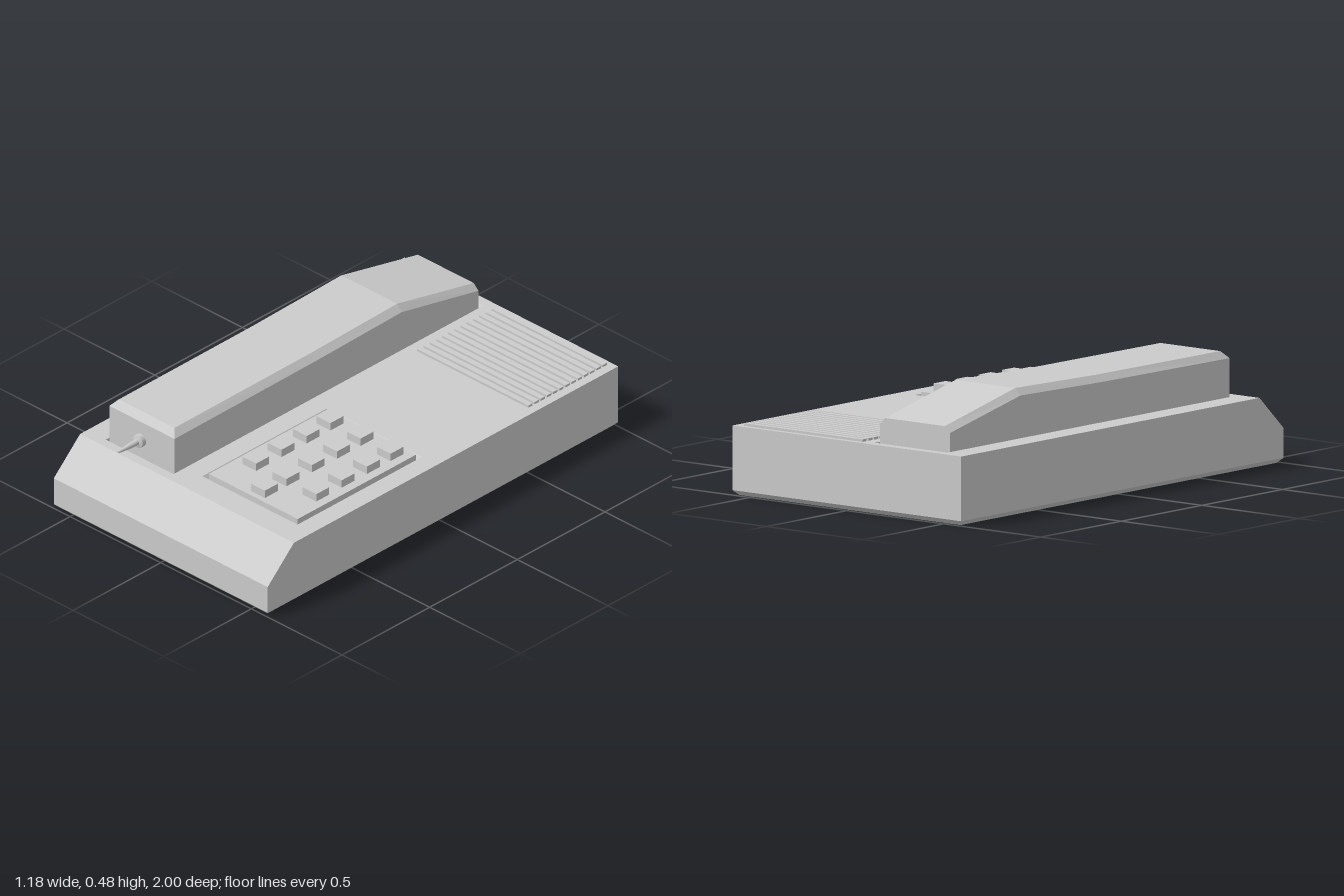
import * as THREE from 'three';

const material = new THREE.MeshStandardMaterial({ color: 0xcccccc, flatShading: true });

// Skin a series of equal-length closed cross-sections with flat quads
function loft(rings, capStart = false, capEnd = false) {
  const pos = [];
  const tri = (a, b, c) => pos.push(...a, ...b, ...c);
  for (let r = 0; r < rings.length - 1; r++) {
    const A = rings[r], B = rings[r + 1], n = A.length;
    for (let i = 0; i < n; i++) {
      const j = (i + 1) % n;
      tri(A[i], A[j], B[j]);
      tri(A[i], B[j], B[i]);
    }
  }
  const first = rings[0], last = rings[rings.length - 1];
  for (let i = 1; i < first.length - 1; i++) {
    if (capStart) tri(first[0], first[i + 1], first[i]);
    if (capEnd) tri(last[0], last[i], last[i + 1]);
  }
  const geo = new THREE.BufferGeometry();
  geo.setAttribute('position', new THREE.Float32BufferAttribute(pos, 3));
  geo.computeVertexNormals();
  return geo;
}

// Horizontal rectangle at height y, counter-clockwise seen from above
const rect = (y, x0, x1, z0, z1) => [[x0, y, z1], [x1, y, z1], [x1, y, z0], [x0, y, z0]];

export function createModel() {
  const phone = new THREE.Group();
  phone.name = 'deskTelephone';

  const add = (name, geo, x = 0, y = 0, z = 0, parent = phone) => {
    const mesh = new THREE.Mesh(geo, material);
    mesh.name = name;
    mesh.position.set(x, y, z);
    parent.add(mesh);
    return mesh;
  };

  const W = 0.59, TOP = 0.28, FLOOR = 0.255;

  // Housing: chamfered foot, upright walls and sloping front
  add('baseBody', loft([
    rect(0, -W + 0.02, W - 0.02, -0.98, 0.98),
    rect(0.02, -W, W, -1, 1),
    rect(0.14, -W, W, -1, 1),
    rect(TOP, -W, W, -1, 0.85),
  ], true));

  // Top deck with openings for the handset and the keypad
  const wells = [
    { name: 'handsetWell', outer: [-0.487, -0.113, -0.96, 0.81], inner: [-0.48, -0.12, -0.94, 0.797] },
    { name: 'keypadWell', outer: [-0.02, 0.505, 0.03, 0.742], inner: [0, 0.49, 0.05, 0.725] },
  ];
  // Shape y is -z, so the deck faces up after the rotation
  const outline = (path, [x0, x1, z0, z1]) => {
    path.moveTo(x0, -z1);
    path.lineTo(x1, -z1);
    path.lineTo(x1, -z0);
    path.lineTo(x0, -z0);
    path.closePath();
    return path;
  };
  const deck = outline(new THREE.Shape(), [-W, W, -1, 0.85]);
  wells.forEach((w) => deck.holes.push(outline(new THREE.Path(), w.outer)));
  add('topDeck', new THREE.ShapeGeometry(deck).rotateX(-Math.PI / 2), 0, TOP);

  // Sloped sides of the two wells
  wells.forEach((w) => add(w.name, loft([rect(TOP, ...w.outer), rect(FLOOR, ...w.inner)], false, true)));

  // Handset: chamfered section along z as [z, edge height, top height, chamfer]
  const stations = [
    [-0.937, 0.355, 0.38, 0.026],
    [-0.5, 0.45, 0.478, 0.026],
    [0, 0.44, 0.467, 0.026],
    [0.77, 0.435, 0.464, 0.026],
    [0.797, 0.435, 0.435, 0],
  ];
  const handset = new THREE.Group();
  handset.name = 'handset';
  handset.position.x = -0.3;
  phone.add(handset);
  add('handsetBody', loft(stations.map(([z, edge, top, c]) => [
    [-0.18, FLOOR, z], [0.18, FLOOR, z], [0.18, edge, z],
    [0.18 - c, top, z], [-0.18 + c, top, z], [-0.18, edge, z],
  ]), true, true), 0, 0, 0, handset);

  // Cord plug: round collar with a tapering stem
  const plug = [[0, 0], [0.028, 0], [0.028, 0.022], [0.013, 0.026], [0.011, 0.07], [0.005, 0.133], [0, 0.133]]
    .map(([r, h]) => new THREE.Vector2(r, h));
  add('cordPlug', new THREE.LatheGeometry(plug, 20).rotateX(Math.PI / 2), -0.005, 0.352, 0.795, handset);

  // Keypad plate and keys
  const keypad = new THREE.Group();
  keypad.name = 'keypad';
  phone.add(keypad);
  add('keypadPlate', new THREE.BoxGeometry(0.49, 0.038, 0.675), 0.245, 0.273, 0.3875, keypad);
  const key = new THREE.BoxGeometry(0.076, 0.036, 0.074);
  const columns = [0.081, 0.248, 0.413];
  [0.118, 0.253, 0.397, 0.542].forEach((z) => columns.forEach((x) => add('key', key, x, 0.308, z, keypad)));
  add('key', key, columns[1], 0.308, 0.665, keypad);

  // Speaker grille of raised slats
  const grille = new THREE.Group();
  grille.name = 'speakerGrille';
  phone.add(grille);
  const slat = new THREE.BoxGeometry(0.613, 0.02, 0.025);
  for (let i = 0; i < 13; i++) add('grilleSlat', slat, 0.244, TOP, -0.964 + i * 0.0353, grille);

  return phone;
}
